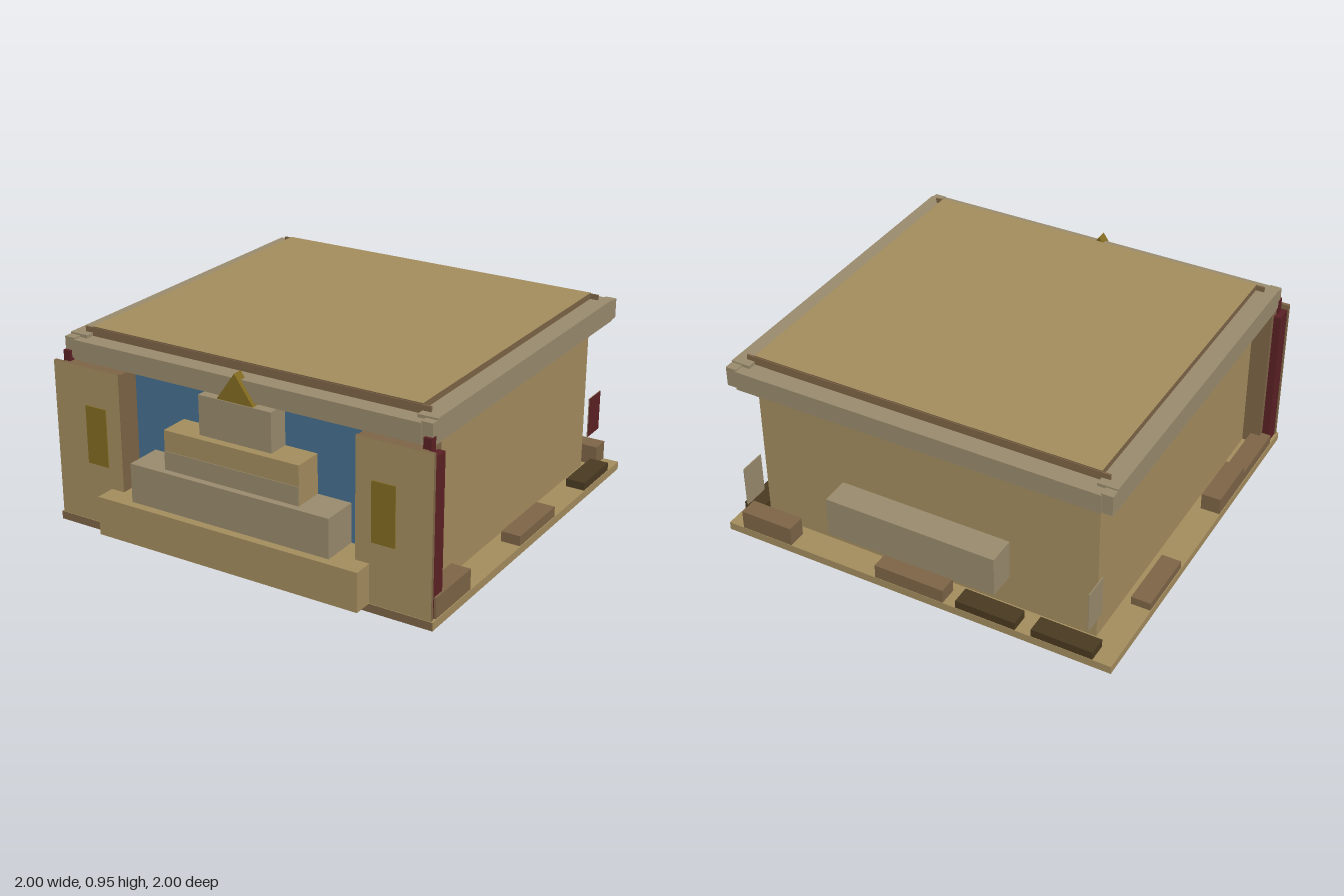
import * as THREE from 'three';

const mat = (name, color) => {
  const m = new THREE.MeshStandardMaterial({ color });
  m.name = name;
  return m;
};

export function createModel() {
  const tan = mat('sandstone', 0xa48d5e);
  const grey = mat('greyStone', 0x998b6d);
  const brown = mat('brownStone', 0x7d6446);
  const dark = mat('darkStone', 0x4a3a21);
  const red = mat('darkRed', 0x5a2024);
  const gold = mat('gold', 0x826a20);
  const blue = mat('blue', 0x46708f);

  const model = new THREE.Group();
  model.name = 'temple';

  // Box from its limits on each axis
  const box = (name, material, x0, x1, y0, y1, z0, z1) => {
    const mesh = new THREE.Mesh(new THREE.BoxGeometry(x1 - x0, y1 - y0, z1 - z0), material);
    mesh.position.set((x0 + x1) / 2, (y0 + y1) / 2, (z0 + z1) / 2);
    mesh.name = name;
    model.add(mesh);
    return mesh;
  };
  // Box mirrored to both sides of x = 0
  const pair = (name, material, x0, x1, ...rest) => {
    box(name + 'Left', material, x0, x1, ...rest);
    box(name + 'Right', material, -x1, -x0, ...rest);
  };

  // Base slab with a brown front edge
  box('base', [tan, tan, tan, tan, brown, tan], -1, 1, 0, 0.04, -1, 0.905);

  // Main hall and raised roof with brown edges
  box('hall', tan, -0.86, 0.86, 0.04, 0.92, -0.86, 0.77);
  box('roof', [brown, brown, tan, tan, brown, brown], -0.86, 0.86, 0.92, 0.95, -0.86, 0.77);
  box('roofFrontTrim', brown, -0.9, 0.9, 0.9, 0.945, 0.765, 0.774);
  box('roofBackTrim', brown, -0.9, 0.9, 0.9, 0.945, -0.864, -0.855);

  // Cornice: beams and slightly lower corner blocks
  pair('corniceSide', grey, 0.86, 0.955, 0.81, 0.92, -0.905, 0.815);
  box('corniceFront', grey, -0.905, 0.905, 0.81, 0.905, 0.77, 0.86);
  box('corniceBack', grey, -0.905, 0.905, 0.81, 0.905, -0.955, -0.86);
  pair('corniceFrontCorner', grey, 0.9, 0.955, 0.815, 0.912, 0.81, 0.855);
  pair('corniceBackCorner', grey, 0.9, 0.955, 0.815, 0.912, -0.95, -0.9);

  // Front wings with facing plates, red corner columns and gold panels
  pair('wing', brown, 0.62, 0.95, 0.04, 0.8, 0.772, 0.89);
  pair('wingFacing', [brown, brown, brown, brown, tan, brown], 0.62, 0.99, 0.04, 0.805, 0.885, 0.902);
  pair('cornerColumn', red, 0.9, 0.985, 0.04, 0.78, 0.8, 0.884);
  pair('columnCap', red, 0.92, 0.957, 0.78, 0.85, 0.83, 0.87);
  pair('wingPanel', gold, 0.7, 0.815, 0.335, 0.62, 0.901, 0.907);

  // Blue back wall of the porch
  box('porchWall', blue, -0.62, 0.62, 0.04, 0.81, 0.77, 0.778);

  // Stepped pyramid: half width, bottom, top, front, material
  [
    [0.69, 0.04, 0.23, 1.0, tan],
    [0.525, 0.23, 0.42, 0.96, grey],
    [0.355, 0.42, 0.61, 0.925, tan],
    [0.19, 0.61, 0.8, 0.885, grey],
  ].forEach(([w, y0, y1, z, m], i) => box('step' + (i + 1), m, -w, w, y0, y1, 0.775, z));
  box('stepFacing', grey, -0.355, 0.355, 0.42, 0.51, 0.924, 0.928);

  // Gold gable on the top step
  const tri = new THREE.Shape([
    new THREE.Vector2(-0.095, 0.8), new THREE.Vector2(0.095, 0.8), new THREE.Vector2(0, 0.935),
  ]);
  const gable = new THREE.Mesh(new THREE.ExtrudeGeometry(tri, { depth: 0.05, bevelEnabled: false }), gold);
  gable.position.z = 0.83;
  gable.name = 'gable';
  model.add(gable);

  // Long stone and end plates at the back
  box('backStone', grey, -0.43, 0.43, 0.2, 0.4, -1, -0.86);
  box('backPlateLeft', [red, grey, grey, grey, grey, grey], 0.877, 0.882, 0.195, 0.4, -1, -0.87);
  box('backPlateRight', grey, -0.888, -0.883, 0.195, 0.4, -1, -0.87);

  // Loose blocks along the slab edges: start, end, top, material
  [[0.565, 0.87, 0.14, brown], [-0.27, 0.09, 0.09, brown], [-0.88, -0.6, 0.08, dark]]
    .forEach(([a, b, h, m]) => box('leftBlock', m, 0.9, 0.996, 0.04, h, a, b));
  [[-0.6, -0.275, 0.08, brown], [0.165, 0.455, 0.125, brown], [0.455, 0.8, 0.09, brown]]
    .forEach(([a, b, h, m]) => box('rightBlock', m, -0.996, -0.9, 0.04, h, a, b));
  [[0.65, 0.92, 0.135, brown], [-0.165, 0.19, 0.11, brown], [-0.53, -0.23, 0.08, dark], [-0.91, -0.61, 0.08, dark]]
    .forEach(([a, b, h, m]) => box('backBlock', m, a, b, 0.04, h, -0.998, -0.905));

  return model;
}
